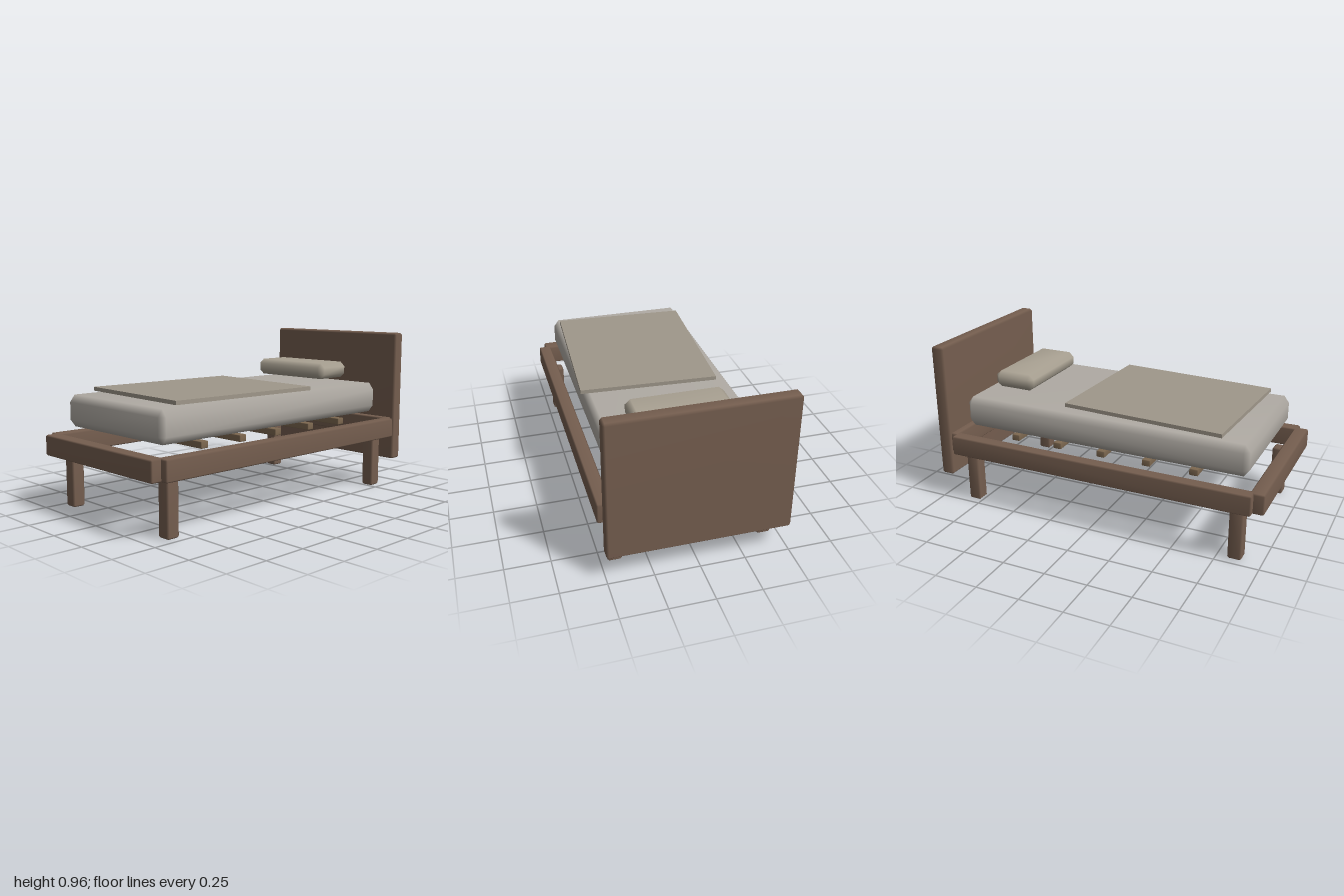
import * as THREE from 'three';
import { ConvexGeometry } from 'three/addons/geometries/ConvexGeometry.js';
import { mergeVertices } from 'three/addons/utils/BufferGeometryUtils.js';

const material = (color) => new THREE.MeshStandardMaterial({ color });

// Box with one-step bevelled edges and smooth normals; bevel is given per axis.
function bevelBox(size, bevel) {
  const [x, y, z] = size.map((s) => s / 2);
  const [bx, by, bz] = bevel;
  const points = [];
  for (const i of [-1, 1]) for (const j of [-1, 1]) for (const k of [-1, 1]) {
    points.push(
      new THREE.Vector3(i * x, j * (y - by), k * (z - bz)),
      new THREE.Vector3(i * (x - bx), j * y, k * (z - bz)),
      new THREE.Vector3(i * (x - bx), j * (y - by), k * z)
    );
  }
  const hull = new ConvexGeometry(points);
  hull.deleteAttribute('normal');
  const geometry = mergeVertices(hull, 1e-4);
  geometry.computeVertexNormals();
  return geometry;
}

export function createModel() {
  const bed = new THREE.Group();
  bed.name = 'bed';

  const wood = material(0x755e4f);
  const slatWood = material(0x7d6850);
  const mattressCloth = material(0xb0aba4);
  const pillowCloth = material(0xaaa293);
  const blanketCloth = material(0x9f978a);

  const add = (name, geometry, mat, x, y, z) => {
    const mesh = new THREE.Mesh(geometry, mat);
    mesh.name = name;
    mesh.position.set(x, y, z);
    bed.add(mesh);
    return mesh;
  };

  // Headboard
  add('headboard', bevelBox([1.0, 0.8, 0.08], [0.012, 0.012, 0.012]), wood, 0, 0.556, -0.96);

  // Frame: side rails, foot rail and head rail
  const edge = [0.008, 0.008, 0.008];
  const sideRail = bevelBox([0.075, 0.116, 1.83], edge);
  const endRail = bevelBox([0.96, 0.116, 0.083], edge);
  add('leftRail', sideRail, wood, 0.483, 0.364, 0.025);
  add('rightRail', sideRail, wood, -0.483, 0.364, 0.025);
  add('footRail', endRail, wood, 0, 0.364, 0.958);
  add('headRail', endRail, wood, 0, 0.364, -0.921);

  // Legs
  const leg = bevelBox([0.078, 0.302, 0.078], [0.01, 0.01, 0.01]);
  for (const [end, z] of [['front', 0.85], ['back', -0.8]]) {
    add(end + 'LeftLeg', leg, wood, 0.422, 0.151, z);
    add(end + 'RightLeg', leg, wood, -0.422, 0.151, z);
  }

  // Slats
  const slat = bevelBox([0.786, 0.038, 0.05], [0.004, 0.004, 0.004]);
  for (let i = 0; i < 5; i++) {
    add('slat' + (i + 1), slat, slatWood, 0, 0.431, 0.582 - i * 0.277);
  }

  // Bedding
  add('mattress', bevelBox([0.842, 0.18, 1.725], [0.03, 0.04, 0.03]), mattressCloth, 0, 0.555, 0.025);
  add('pillow', bevelBox([0.55, 0.097, 0.253], [0.03, 0.027, 0.03]), pillowCloth, 0, 0.728, -0.602);
  const blanket = add('blanket', new THREE.BoxGeometry(0.784, 0.022, 0.951), blanketCloth, 0.029, 0.667, 0.276);
  blanket.rotation.y = -0.056;

  return bed;
}
